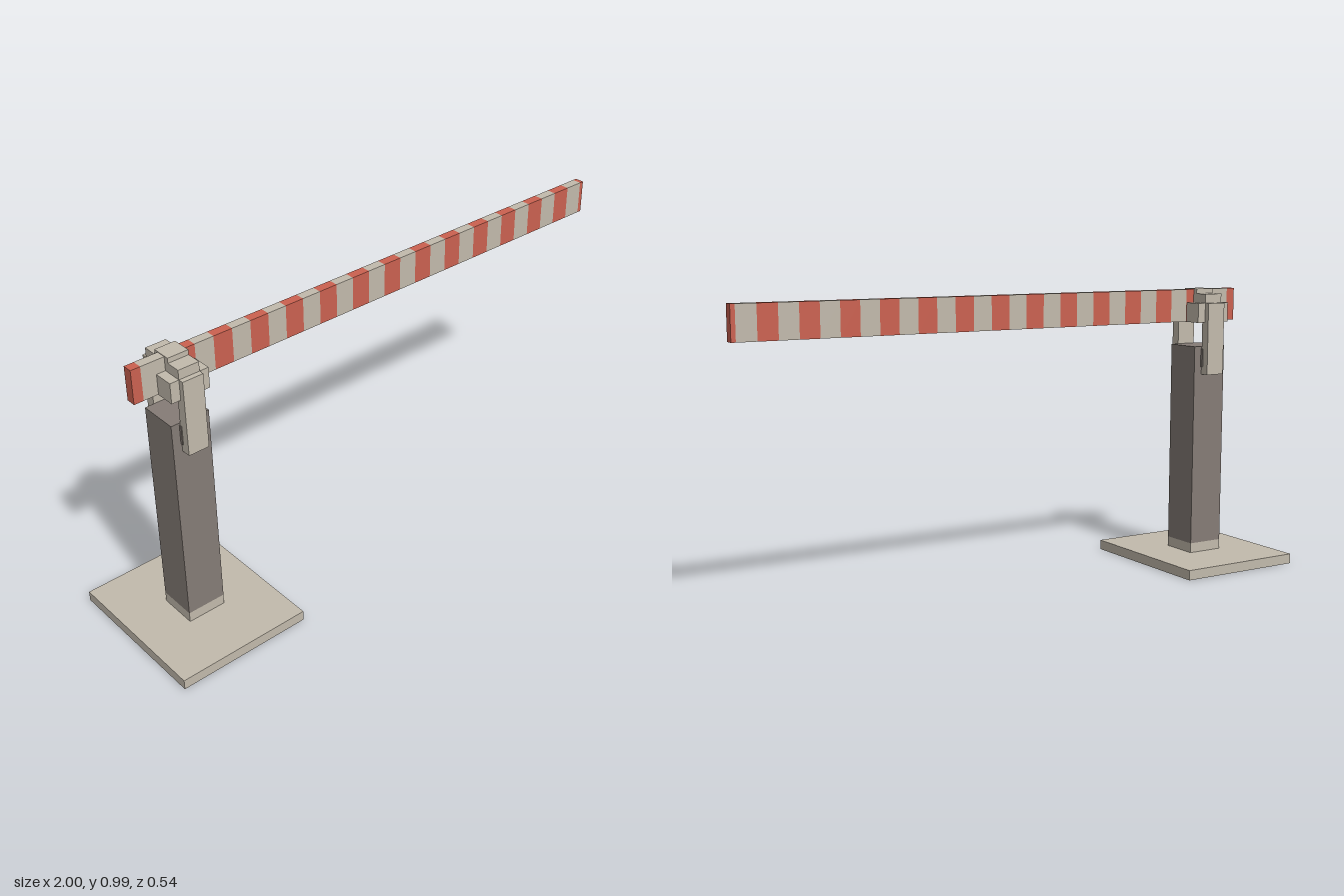
import * as THREE from 'three';

const mat = (name, color) => {
  const m = new THREE.MeshStandardMaterial({ color });
  m.name = name;
  return m;
};

export function createModel() {
  const model = new THREE.Group();
  model.name = 'barrierGate';
  const pale = mat('paleStone', 0xc2baac);
  const dark = mat('darkGrey', 0x857c76);
  const red = mat('signalRed', 0xcb6150);

  // Box given by its limits on each axis
  const box = (parent, name, material, [x0, x1], [y0, y1], [z0, z1]) => {
    const mesh = new THREE.Mesh(new THREE.BoxGeometry(x1 - x0, y1 - y0, z1 - z0), material);
    mesh.position.set((x0 + x1) / 2, (y0 + y1) / 2, (z0 + z1) / 2);
    mesh.name = name;
    parent.add(mesh);
  };
  const PX = -0.767; // post axis
  const around = (half) => [PX - half, PX + half];
  const both = (half) => [-half, half];

  // Foot plate and post
  box(model, 'basePlate', pale, [-1, -0.534], [0, 0.035], both(0.27));
  box(model, 'postFoot', pale, around(0.067), [0.035, 0.07], both(0.067));
  box(model, 'post', dark, around(0.067), [0.07, 0.79], both(0.067));

  // Bracket: two uprights on pivot pads, carrying a stepped saddle
  const bracket = new THREE.Group();
  bracket.name = 'bracket';
  model.add(bracket);
  for (const s of [-1, 1]) {
    const side = (a, b) => (s > 0 ? [a, b] : [-b, -a]);
    box(bracket, 'upright', pale, around(0.036), [0.69, 0.945], side(0.068, 0.101));
    box(bracket, 'pivotPad', dark, around(0.039), [0.717, 0.782], side(0.067, 0.076));
  }
  box(bracket, 'saddleBlock', pale, around(0.067), [0.876, 0.945], both(0.083));
  box(bracket, 'saddleTop', pale, around(0.036), [0.945, 0.977], both(0.083));
  box(bracket, 'saddleCap', pale, around(0.036), [0.977, 0.994], both(0.033));

  // Striped arm: short red tail, pale stretch at the bracket, then even stripes
  const arm = new THREE.Group();
  arm.name = 'arm';
  model.add(arm);
  const cuts = [-0.917, -0.884];
  for (let i = 0; i < 27; i++) cuts.push(-0.765 + i * 0.0673);
  cuts.push(1);
  for (let i = 0; i < cuts.length - 1; i++) {
    const isRed = i % 2 === 0;
    box(arm, isRed ? 'redStripe' : 'paleStripe', isRed ? red : pale,
      [cuts[i], cuts[i + 1]], [0.877, 0.992], both(0.0165));
  }
  return model;
}
